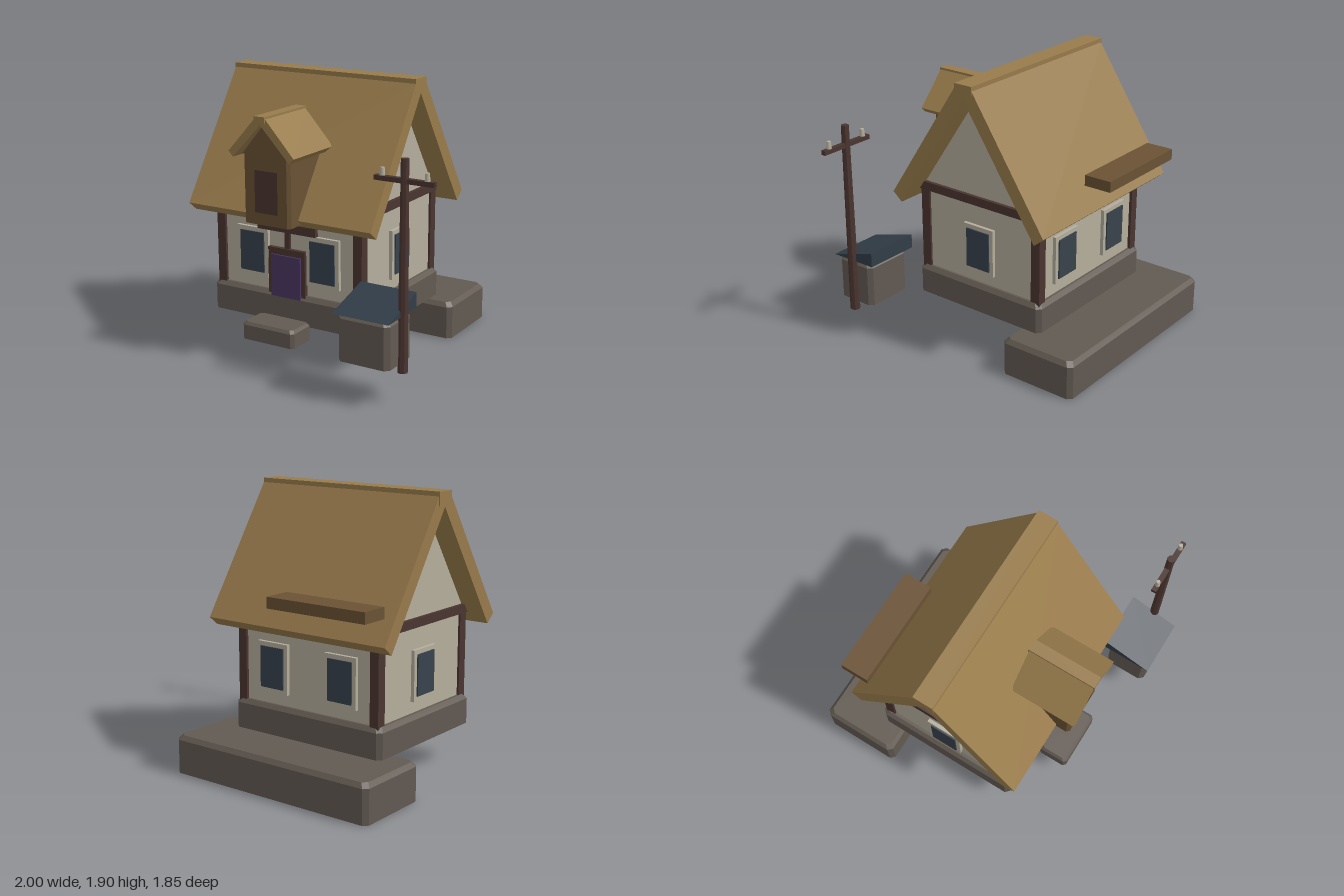
import * as THREE from 'three';

const mat = (name, color, side = THREE.FrontSide) => {
  const m = new THREE.MeshStandardMaterial({ color, side });
  m.name = name;
  return m;
};

export function createModel() {
  const root = new THREE.Group();
  root.name = 'cottage';
  const stone = mat('stone', 0x625a52, THREE.DoubleSide);
  const plaster = mat('plaster', 0xb5ae9d, THREE.DoubleSide);
  const thatch = mat('thatch', 0x987b4b);
  const darkThatch = mat('dark thatch', 0x6a5234);
  const timber = mat('timber', 0x4a3530);
  const glass = mat('glass', 0x38424c);
  const slate = mat('slate', 0x323d47);
  const purple = mat('door paint', 0x4a3660);

  const add = (name, geo, material, parent = root) => {
    const m = new THREE.Mesh(geo, material);
    m.name = name;
    parent.add(m);
    return m;
  };

  // Box given by its limits
  const box = (name, material, x0, x1, y0, y1, z0, z1, parent) => {
    const g = new THREE.BoxGeometry(x1 - x0, y1 - y0, z1 - z0);
    g.translate((x0 + x1) / 2, (y0 + y1) / 2, (z0 + z1) / 2);
    return add(name, g, material, parent);
  };

  // Block with chamfered upright and top edges, open underneath
  const block = (name, material, x0, x1, y0, y1, z0, z1, c = 0.03, parent) => {
    const ring = (y, i) => {
      const [a, b, d, e] = [x0 + i, x1 - i, z0 + i, z1 - i];
      return [[b, d + c], [b, e - c], [b - c, e], [a + c, e], [a, e - c], [a, d + c], [a + c, d], [b - c, d]]
        .map(([x, z]) => [x, y, z]);
    };
    const rings = [ring(y0, 0), ring(y1 - c, 0), ring(y1, c * 0.8)];
    const top = [(x0 + x1) / 2, y1, (z0 + z1) / 2];
    const pos = [];
    for (let i = 0; i < 8; i++) {
      const j = (i + 1) % 8;
      for (let r = 0; r < 2; r++) {
        const lo = rings[r], hi = rings[r + 1];
        pos.push(...lo[i], ...hi[j], ...lo[j], ...lo[i], ...hi[i], ...hi[j]);
      }
      pos.push(...top, ...rings[2][j], ...rings[2][i]);
    }
    const g = new THREE.BufferGeometry();
    g.setAttribute('position', new THREE.Float32BufferAttribute(pos, 3));
    g.computeVertexNormals();
    return add(name, g, material, parent);
  };

  // Prism from a profile, running along z
  const prism = (pts, depth) => new THREE.ExtrudeGeometry(
    new THREE.Shape(pts.map(p => new THREE.Vector2(...p))), { depth, bevelEnabled: false });
  // Mirrors the half profile of a pitched roof
  const chevron = half => [...half, ...half.slice(1, -1).reverse().map(([x, y]) => [-x, y])];

  // Stonework
  block('rearTerrace', stone, -1, 0.565, 0, 0.26, -0.925, -0.37);
  block('foundation', stone, -0.82, 0.38, 0.26, 0.465, -0.535, 0.515);
  block('frontStep', stone, -0.42, -0.015, 0.185, 0.305, 0.525, 0.745, 0.02);

  // Walls and gable ends
  block('walls', plaster, -0.775, 0.34, 0.27, 1.09, -0.495, 0.475);
  const gable = prism([[-0.49, 1.08], [0.49, 1.08], [0, 1.81]], 1.105);
  gable.rotateY(Math.PI / 2).translate(-0.77, 0, -0.01);
  add('gables', gable, plaster);

  // Corner posts and end beams
  for (const x of [-0.79, 0.29])
    for (const z of [-0.515, 0.425]) box('cornerPost', timber, x, x + 0.065, 0.27, 1.04, z, z + 0.07);
  for (const x of [-0.795, 0.3]) box('endBeam', timber, x, x + 0.06, 1.03, 1.09, -0.525, 0.505);

  // Main roof
  const roof = prism(chevron([[0, 1.8], [0.563, 0.96], [0.635, 1.02], [0.07, 1.87], [0, 1.87]]), 1.42);
  roof.rotateY(Math.PI / 2).translate(-0.925, 0, -0.01);
  add('mainRoof', roof, thatch);
  box('ridgeCap', thatch, -0.93, 0.497, 1.805, 1.9, -0.08, 0.06);
  box('rearThatchLedge', darkThatch, -0.85, -0.09, 1.17, 1.245, -0.745, -0.545);

  // Dormer
  const dormer = new THREE.Group();
  dormer.name = 'dormer';
  root.add(dormer);
  block('dormerBody', darkThatch, -0.398, -0.042, 0.985, 1.46, 0.2, 0.72, 0.02, dormer);
  box('dormerFloor', darkThatch, -0.38, -0.06, 0.985, 0.995, 0.22, 0.70, dormer);
  const dg = prism([[-0.18, 1.44], [0.18, 1.44], [0, 1.655]], 0.4);
  dg.translate(-0.22, 0, 0.32);
  add('dormerGable', dg, darkThatch, dormer);
  const dr = prism(chevron([[0, 1.65], [0.215, 1.425], [0.25, 1.46], [0.04, 1.69], [0, 1.69]]), 0.455);
  dr.translate(-0.22, 0, 0.317);
  add('dormerRoof', dr, thatch, dormer);
  box('dormerRidge', thatch, -0.26, -0.18, 1.66, 1.705, 0.31, 0.78, dormer);
  box('dormerShutter', timber, -0.305, -0.13, 1.065, 1.345, 0.716, 0.725, dormer);

  // Door with its timber surround
  box('doorFrame', timber, -0.365, -0.075, 0.45, 0.77, 0.45, 0.505);
  box('door', purple, -0.335, -0.105, 0.435, 0.725, 0.46, 0.518);
  box('doorStrut', timber, -0.24, -0.2, 0.76, 0.89, 0.46, 0.495);
  box('doorLintel', timber, -0.445, 0.01, 0.885, 0.975, 0.46, 0.51);

  // Windows: [x, z, turn] at the wall surface
  const quarter = Math.PI / 2;
  for (const [x, z, turn] of [
    [-0.495, 0.475, 0], [0.06, 0.475, 0], [-0.495, -0.495, 2], [0.06, -0.495, 2],
    [0.34, -0.01, 1], [-0.775, -0.01, -1]]) {
    const w = new THREE.Group();
    w.name = 'window';
    w.position.set(x, 0, z);
    w.rotation.y = turn * quarter;
    box('windowFrame', plaster, -0.125, 0.125, 0.545, 0.885, -0.02, 0.025, w);
    box('windowPane', glass, -0.095, 0.095, 0.577, 0.855, 0.025, 0.034, w);
    root.add(w);
  }

  // Shed with a sloping roof
  block('shed', stone, 0.415, 0.78, 0.26, 0.57, 0.6, 0.9);
  const lean = prism([[-0.922, 0.57], [-0.568, 0.575], [-0.568, 0.675]], 0.4);
  lean.rotateY(Math.PI / 2).translate(0.393, 0, 0);
  add('shedRoof', lean, slate);

  // Utility pole
  const pole = new THREE.CylinderGeometry(0.026, 0.034, 1.345, 8).toNonIndexed();
  pole.computeVertexNormals();
  add('pole', pole, timber).position.set(0.797, 0.8825, 0.745);
  box('crossArm', timber, 0.595, 1, 1.405, 1.435, 0.727, 0.762);
  for (const x of [0.645, 0.947])
    add('insulator', new THREE.CylinderGeometry(0.014, 0.018, 0.05, 8), plaster).position.set(x, 1.46, 0.745);

  return root;
}
